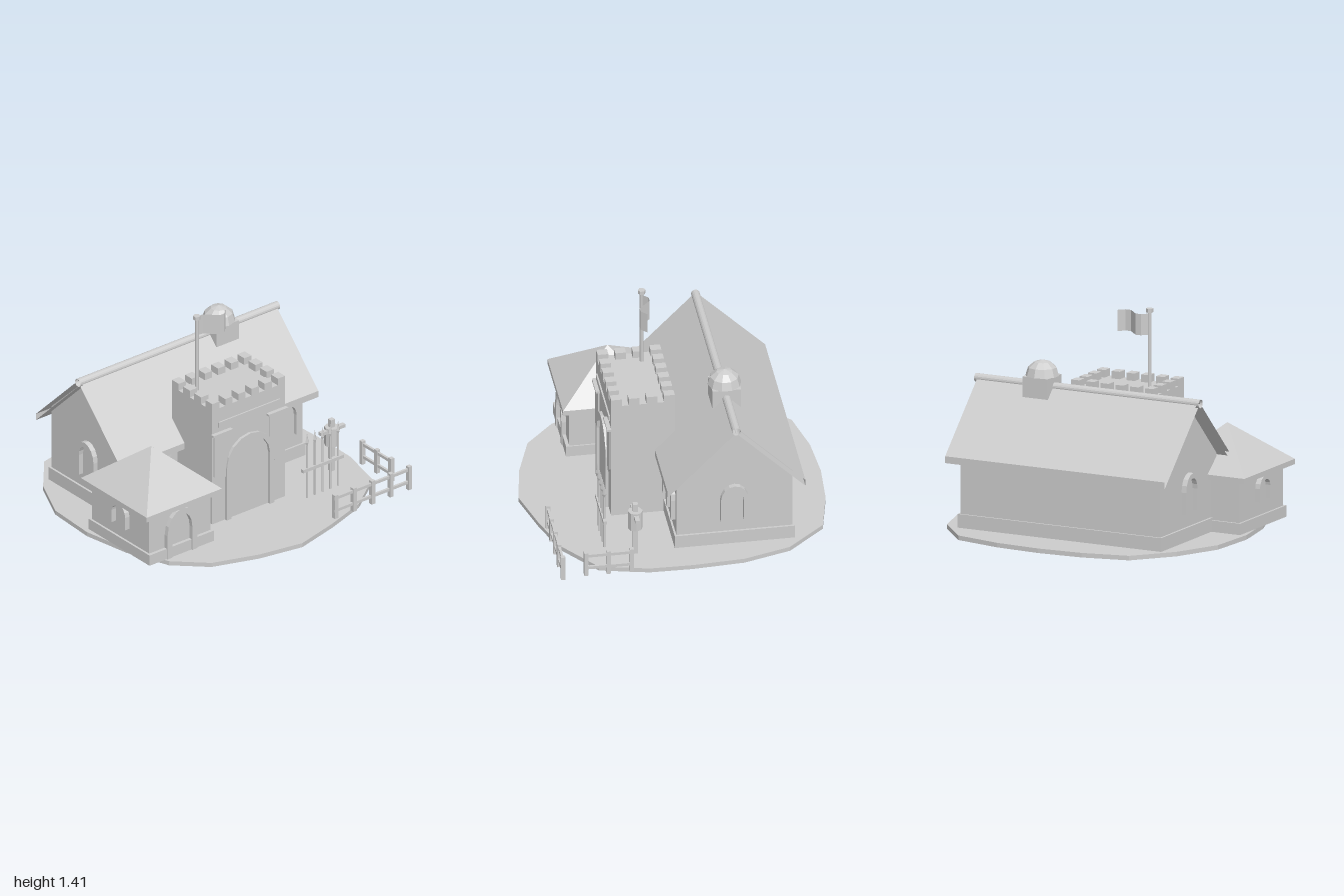
import * as THREE from 'three';

export function createModel() {
  const model = new THREE.Group();
  model.name = 'fortifiedHall';
  const stone = new THREE.MeshStandardMaterial({ color: 0xcccccc, flatShading: true, side: THREE.DoubleSide });
  stone.name = 'pale stone';

  const group = (name, parent = model) => {
    const g = new THREE.Group();
    g.name = name;
    parent.add(g);
    return g;
  };
  const add = (name, geo, parent = model) => {
    const m = new THREE.Mesh(geo, stone);
    m.name = name;
    parent.add(m);
    return m;
  };
  // Box from its minimum and maximum corners
  const box = (name, x0, x1, y0, y1, z0, z1, parent) => add(name,
    new THREE.BoxGeometry(x1 - x0, y1 - y0, z1 - z0)
      .translate((x0 + x1) / 2, (y0 + y1) / 2, (z0 + z1) / 2), parent);
  const cyl = (name, r0, r1, y0, y1, x, z, sides, parent) => add(name,
    new THREE.CylinderGeometry(r1, r0, y1 - y0, sides).translate(x, (y0 + y1) / 2, z), parent);
  const extrude = (pts, depth) => new THREE.ExtrudeGeometry(
    new THREE.Shape(pts.map(p => new THREE.Vector2(...p))), { depth, bevelEnabled: false });

  // Arched surround standing proud of a wall; angle turns it from facing +z
  const arch = (name, x, z, angle, half, y0, spring, top, t, depth, parent) => {
    const pts = [[half, y0]];
    for (let i = 0; i <= 8; i++) {
      const a = Math.PI * i / 8;
      pts.push([half * Math.cos(a), spring + (top - spring) * Math.sin(a)]);
    }
    pts.push([-half, y0], [-half + t, y0]);
    for (let i = 8; i >= 0; i--) {
      const a = Math.PI * i / 8;
      pts.push([(half - t) * Math.cos(a), spring + (top - t - spring) * Math.sin(a)]);
    }
    pts.push([half - t, y0]);
    const m = add(name, extrude(pts, depth), parent);
    m.position.set(x, 0, z);
    m.rotation.y = angle;
  };

  // Irregular ground slab, outline as x, z
  const outline = [
    [0, -0.99], [0.31, -0.97], [0.63, -0.9], [0.85, -0.65], [0.94, -0.34], [0.96, 0], [0.955, 0.28],
    [0.88, 0.6], [0.61, 0.8], [0.31, 0.9], [0, 0.98], [-0.31, 0.925], [-0.62, 0.82], [-0.82, 0.63],
    [-0.93, 0.33], [-0.99, 0], [-0.97, -0.35], [-0.83, -0.65], [-0.62, -0.9], [-0.31, -0.97]];
  add('groundSlab', extrude(outline.map(([x, z]) => [x, -z]), 0.03).rotateX(-Math.PI / 2));

  // Hall: gabled body, plinth and windows
  const hall = group('hall');
  const ridgeZ = -0.306;
  add('hallWalls', extrude([[-0.07, 0.03], [0.686, 0.03], [0.686, 0.57], [-ridgeZ, 0.934], [-0.07, 0.57]], 1.46)
    .rotateY(Math.PI / 2).translate(-0.73, 0, 0), hall);
  box('hallPlinth', -0.745, 0.745, 0.03, 0.12, -0.7, 0.083, hall);
  for (const s of [-1, 1])
    arch('gableWindow', s * 0.73, ridgeZ, s * Math.PI / 2, 0.093, 0.215, 0.36, 0.475, 0.035, 0.035, hall);
  for (const x of [-0.3, 0.28, 0.6])
    arch('frontWindow', x, 0.07, 0, 0.093, 0.215, 0.36, 0.475, 0.035, 0.03, hall);

  // Hall roof: hollow section swept along x, open at both ends
  const section = [[-0.758, 0.46], [-0.758, 0.505], [ridgeZ, 0.955], [0.14, 0.505], [0.14, 0.46], [ridgeZ, 0.91]];
  const verts = [];
  section.forEach(([z, y], i) => {
    const [z2, y2] = section[(i + 1) % section.length];
    const a = [-0.803, y, z], b = [-0.803, y2, z2], c = [0.805, y2, z2], d = [0.805, y, z];
    verts.push(...a, ...b, ...c, ...a, ...c, ...d);
  });
  const roofGeo = new THREE.BufferGeometry();
  roofGeo.setAttribute('position', new THREE.Float32BufferAttribute(verts, 3));
  roofGeo.computeVertexNormals();
  add('hallRoof', roofGeo, hall);
  add('ridgeTube', new THREE.CylinderGeometry(0.028, 0.028, 1.645, 16, 1, true)
    .rotateZ(Math.PI / 2).translate(0.003, 0.935, ridgeZ), hall);

  // Roof turret with faceted dome
  box('turretBase', 0.25, 0.435, 0.865, 1, -0.4, -0.214, hall);
  const domeProfile = [[0, 0], [0.11, 0], [0.093, 0.055], [0.052, 0.09], [0, 0.105]];
  add('turretDome', new THREE.LatheGeometry(domeProfile.map(p => new THREE.Vector2(...p)), 10)
    .translate(0.34, 1, ridgeZ), hall);

  // Side annex with pyramid roof
  const annex = group('annex');
  box('annexWalls', -0.94, -0.435, 0.03, 0.38, -0.01, 0.578, annex);
  box('annexPlinth', -0.955, -0.425, 0.03, 0.105, -0.025, 0.6, annex);
  box('annexEaves', -1, -0.38, 0.375, 0.41, -0.05, 0.627, annex);
  add('annexRoof', new THREE.ConeGeometry(Math.SQRT1_2, 1, 4).rotateY(Math.PI / 4)
    .scale(0.62, 0.275, 0.677).translate(-0.69, 0.5475, 0.2885), annex);
  arch('annexDoorway', -0.69, 0.578, 0, 0.122, 0.03, 0.2, 0.365, 0.04, 0.03, annex);
  arch('annexWindow', -0.94, 0.29, -Math.PI / 2, 0.085, 0.2, 0.29, 0.37, 0.03, 0.035, annex);

  // Gate tower
  const tower = group('gateTower');
  box('towerBody', -0.298, 0.302, 0.03, 0.865, 0.01, 0.425, tower);
  const merlon = (x, z) => box('merlon', x - 0.03, x + 0.03, 0.865, 0.914, z - 0.035, z + 0.035, tower);
  for (let i = 0; i < 6; i++) {
    const x = -0.268 + i * 0.108;
    merlon(x, 0.045);
    merlon(x, 0.39);
  }
  for (const x of [-0.268, 0.272]) for (const z of [0.16, 0.275]) merlon(x, z);
  arch('gateway', 0.003, 0.425, 0, 0.195, 0.03, 0.41, 0.605, 0.036, 0.02, tower);
  box('gatePlaque', -0.25, 0.255, 0.727, 0.765, 0.42, 0.435, tower);

  // Hanging banners either side of the gate
  for (const s of [-1, 1]) {
    const x = s * 0.228;
    add('banner', extrude([[x - 0.06, 0.69], [x - 0.06, 0.375], [x, 0.32], [x + 0.06, 0.375], [x + 0.06, 0.69]], 0.008)
      .translate(0, 0, 0.426), tower);
    box('bannerRod', x - 0.08, x + 0.08, 0.678, 0.692, 0.425, 0.452, tower);
  }

  // Flagpole and waving flag
  const poleX = -0.2, poleZ = 0.145;
  cyl('flagPole', 0.013, 0.013, 0.865, 1.39, poleX, poleZ, 8, tower);
  cyl('poleCap', 0.025, 0.025, 1.385, 1.41, poleX, poleZ, 6, tower);
  const flag = new THREE.PlaneGeometry(0.23, 0.14, 6, 1);
  const p = flag.attributes.position;
  for (let i = 0; i < p.count; i++) p.setZ(i, -0.045 * Math.sin((p.getX(i) / 0.23 + 0.5) * Math.PI * 2));
  flag.computeVertexNormals();
  add('flag', flag.translate(-0.08, 1.305, poleZ), tower);

  // Spear rack
  const rack = group('spearRack');
  box('rackBar', 0.36, 0.695, 0.225, 0.248, 0.515, 0.54, rack);
  for (let i = 0; i < 5; i++) {
    const x = 0.4 + i * 0.064;
    cyl('spearShaft', 0.007, 0.007, 0.03, 0.44, x, 0.528, 6, rack);
    cyl('spearHeadLower', 0.006, 0.014, 0.41, 0.435, x, 0.528, 4, rack);
    cyl('spearHeadTip', 0.014, 0.0005, 0.435, 0.505, x, 0.528, 4, rack);
  }

  // Training dummy
  const dummy = group('trainingDummy');
  box('dummyPost', 0.735, 0.768, 0.03, 0.405, 0.325, 0.358, dummy);
  cyl('dummyBody', 0.048, 0.048, 0.22, 0.35, 0.752, 0.342, 8, dummy);
  box('dummyArms', 0.655, 0.855, 0.315, 0.338, 0.327, 0.357, dummy);

  // Corner fence: front run and side run
  const fence = group('fence');
  const post = (x, z) => box('fencePost', x - 0.014, x + 0.014, 0.03, 0.2, z - 0.014, z + 0.014, fence);
  for (let i = 0; i < 5; i++) post(0.375 + i * 0.152, 0.85);
  for (const z of [0.4, 0.55, 0.695]) post(0.96, z);
  for (const y of [0.075, 0.165]) {
    box('frontRail', 0.36, 0.995, y, y + 0.02, 0.842, 0.858, fence);
    box('sideRail', 0.952, 0.968, y, y + 0.02, 0.39, 0.705, fence);
  }
  return model;
}
